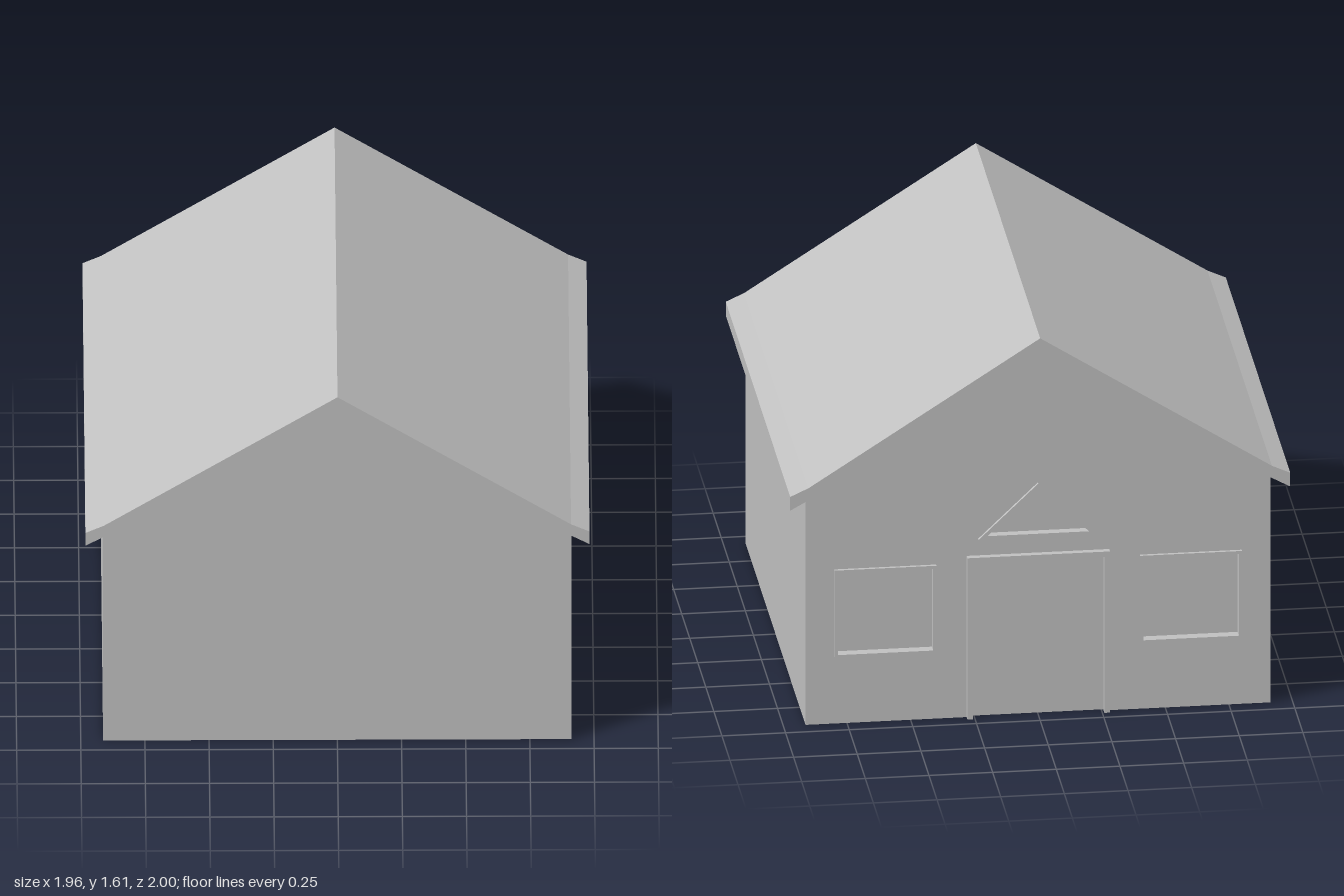
import * as THREE from 'three';

const HALF_W = 0.913, HALF_D = 0.93, EAVE = 0.974, RIDGE = 1.555;

const toPoints = (pts) => pts.map(([x, y]) => new THREE.Vector2(x, y));
const rect = (x0, y0, x1, y1) => [[x0, y0], [x1, y0], [x1, y1], [x0, y1]];

export function createModel() {
  const house = new THREE.Group();
  house.name = 'house';
  const grey = new THREE.MeshStandardMaterial({ color: 0xc0c0c0, side: THREE.DoubleSide });
  grey.name = 'plain grey';

  const add = (parent, name, geometry, z = 0) => {
    const mesh = new THREE.Mesh(geometry, grey);
    mesh.name = name;
    mesh.position.z = z;
    parent.add(mesh);
    return mesh;
  };
  const shapeOf = (outer, holes = []) => {
    const shape = new THREE.Shape(toPoints(outer));
    holes.forEach((h) => shape.holes.push(new THREE.Path(toPoints(h))));
    return shape;
  };

  // Gabled front wall, thin and open underneath
  const gable = [[HALF_W, 0], [HALF_W, EAVE], [0, RIDGE], [-HALF_W, EAVE], [-HALF_W, 0]];
  add(house, 'frontWall', new THREE.ShapeGeometry(shapeOf(gable)), HALF_D);

  // Side walls
  for (const side of [-1, 1]) {
    const wall = add(house, side > 0 ? 'leftWall' : 'rightWall', new THREE.PlaneGeometry(2 * HALF_D, EAVE));
    wall.position.set(side * HALF_W, EAVE / 2, 0);
    wall.rotation.y = side * Math.PI / 2;
  }

  // Back wall group, modelled facing +z and turned round
  const back = new THREE.Group();
  back.name = 'backSide';
  back.rotation.y = Math.PI;
  house.add(back);

  // Frame ring that projects from the wall, with a recessed panel inside it
  const addOpening = (name, frame, panel, front, rear) => {
    const geometry = new THREE.ExtrudeGeometry(frame, { depth: front - rear, bevelEnabled: false });
    add(back, name + 'Frame', geometry, rear);
    add(back, name + 'Panel', new THREE.ShapeGeometry(shapeOf(panel)), rear + 0.003);
  };

  // Windows
  const windows = [rect(-0.8, 0.28, -0.4, 0.65), rect(0.4, 0.28, 0.8, 0.65)];
  for (const outer of windows) {
    const [[x0, y0], , [x1, y1]] = outer;
    const inner = rect(x0 + 0.013, y0 + 0.013, x1 - 0.013, y1 - 0.013);
    addOpening('window', shapeOf(outer, [inner]), inner, 0.943, 0.9);
  }

  // Triangular window over the door
  const triangle = [[-0.235, 0.75], [0.235, 0.75], [0, 0.976]];
  const innerTriangle = triangle.map(([x, y]) => [x * 0.85, 0.845 + (y - 0.845) * 0.85]);
  addOpening('gableWindow', shapeOf(triangle, [innerTriangle]), innerTriangle, 0.943, 0.905);

  // Door with jambs and lintel
  const dx = 0.28, dy = 0.68, t = 0.022;
  const doorFrame = [[-dx, 0], [-dx, dy], [dx, dy], [dx, 0], [dx - t, 0], [dx - t, dy - t], [-dx + t, dy - t], [-dx + t, 0]];
  addOpening('door', shapeOf(doorFrame), rect(-dx + t, 0, dx - t, dy - t), 0.955, 0.915);

  // Back wall with the openings cut out
  const notched = [...gable, [-dx, 0], [-dx, dy], [dx, dy], [dx, 0]];
  add(back, 'backWall', new THREE.ShapeGeometry(shapeOf(notched, [...windows, triangle])), HALF_D);

  // Roof band with slightly flared eaves
  const roof = [
    [0, 1.612], [-0.91, 1.027], [-0.982, 0.994], [-0.982, 0.936], [-HALF_W, EAVE],
    [0, RIDGE], [HALF_W, EAVE], [0.982, 0.936], [0.982, 0.994], [0.91, 1.027],
  ];
  add(house, 'roof', new THREE.ExtrudeGeometry(shapeOf(roof), { depth: 2, bevelEnabled: false }), -1);

  return house;
}
